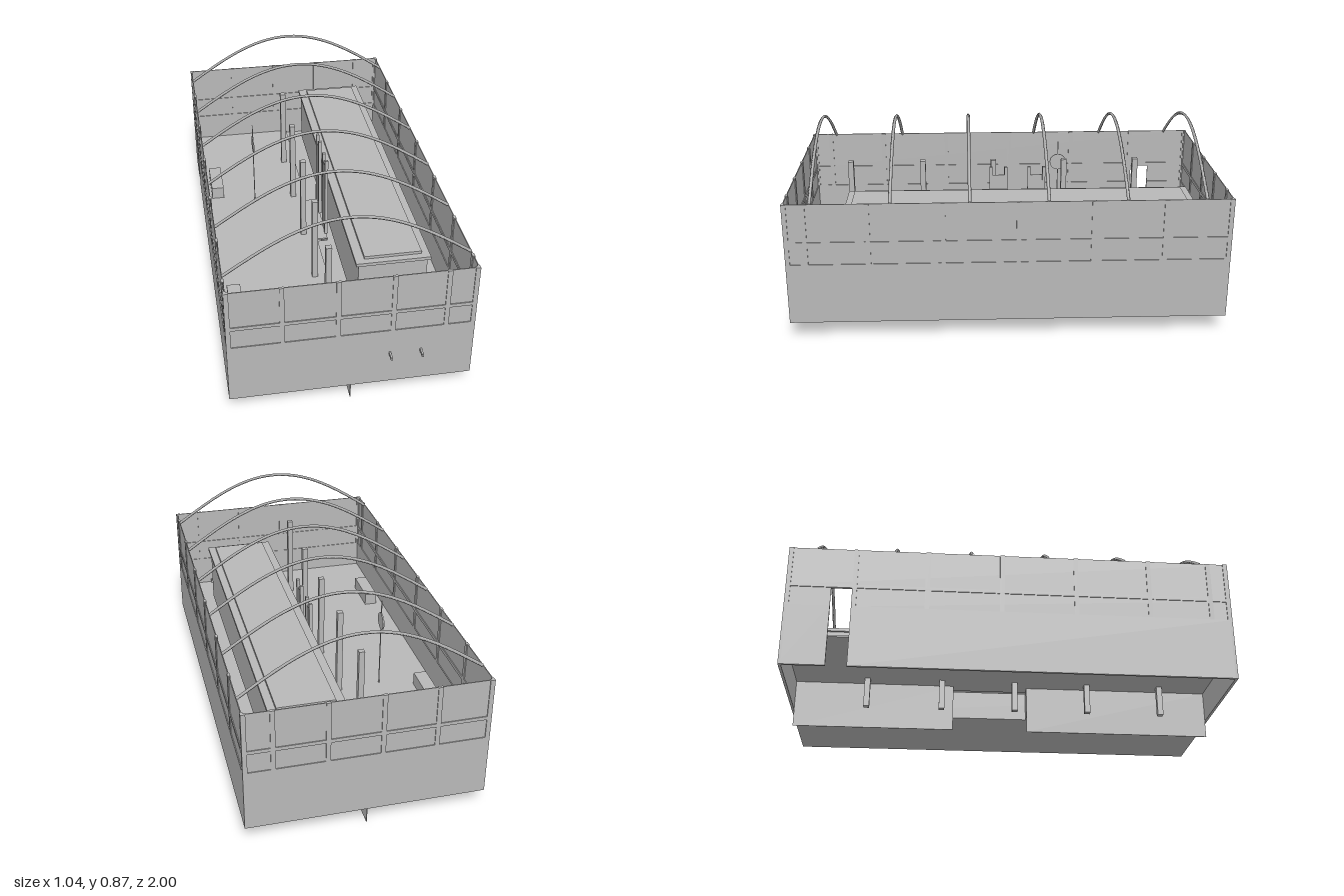
import * as THREE from 'three';

const grey = new THREE.MeshStandardMaterial({ color: 0xb8b8b8 });
grey.name = 'concrete grey';

// Box given by its minimum and maximum along each axis
function box(parent, name, x0, x1, y0, y1, z0, z1) {
  const g = new THREE.BoxGeometry(x1 - x0, y1 - y0, z1 - z0);
  g.translate((x0 + x1) / 2, (y0 + y1) / 2, (z0 + z1) / 2);
  const m = new THREE.Mesh(g, grey);
  m.name = name;
  parent.add(m);
  return m;
}

const BASE = 0.08, SILL = 0.36, RAIL = 0.455, TOP = 0.64, T = 0.012;
const BACK = -0.995, FRONT = 0.96, HALF = 0.52;

// Framed wall running from u0 to u1 along local x, outer face at local z = 0
function wall(name, u0, u1, posts, door) {
  const g = new THREE.Group();
  g.name = name;
  const spans = door ? [[u0, door[0]], [door[1], u1]] : [[u0, u1]];
  for (const [a, b] of spans) {
    box(g, 'lowerWall', a, b, BASE, SILL, -T, 0);
    box(g, 'lowerPanel', a, b, SILL, RAIL, -T + 0.004, -0.004);
  }
  box(g, 'upperPanel', u0, u1, RAIL, TOP, -T + 0.004, -0.004);
  box(g, 'rail', u0, u1, RAIL - 0.006, RAIL + 0.01, -T, 0);
  for (const p of [u0 + 0.01, ...posts, u1 - 0.01]) {
    box(g, 'wallPost', p - 0.01, p + 0.01, SILL, TOP, -T, 0);
  }
  return g;
}

export function createModel() {
  const model = new THREE.Group();
  model.name = 'trainStation';

  // Four outer walls, with a doorway in the right one
  const endPosts = [-0.29, -0.06, 0.17, 0.395];
  const sidePosts = [0.87, 0.597, 0.27, -0.058, -0.385, -0.7];
  const front = wall('frontWall', -HALF, HALF, endPosts);
  front.position.z = FRONT;
  const back = wall('backWall', -HALF, HALF, endPosts.map(x => -x));
  back.rotation.y = Math.PI;
  back.position.z = BACK;
  const left = wall('leftWall', -FRONT, -BACK, sidePosts.map(z => -z));
  left.rotation.y = Math.PI / 2;
  left.position.x = HALF;
  const right = wall('rightWall', BACK, FRONT, sidePosts, [-0.8, -0.71]);
  right.rotation.y = -Math.PI / 2;
  right.position.x = -HALF;
  model.add(front, back, left, right);

  // Roof arches
  class Arch extends THREE.Curve {
    getPoint(t, target = new THREE.Vector3()) {
      const x = (t * 2 - 1) * 0.512;
      return target.set(x, 0.638 + 0.225 * Math.cos(x * Math.PI / 1.024), 0);
    }
  }
  const archGeometry = new THREE.TubeGeometry(new Arch(), 32, 0.0075, 4);
  for (let i = 0; i < 6; i++) {
    const arch = new THREE.Mesh(archGeometry, grey);
    arch.name = 'roofArch';
    arch.position.z = 0.84 - i * 0.343;
    model.add(arch);
  }

  // Platform with a bay in its edge, and the track bed beside it
  const platform = new THREE.Group();
  platform.name = 'platform';
  model.add(platform);
  const zb = BACK + T, zf = FRONT - T, bayBack = -0.25, bayFront = 0.095;
  box(platform, 'platformTop', -HALF + T, 0, 0.218, 0.225, zb, zf);
  box(platform, 'bayTop', 0, 0.05, 0.218, 0.225, bayBack, bayFront);
  box(platform, 'platformEdge', -0.004, 0, 0, 0.218, bayFront, zf);
  box(platform, 'platformEdge', -0.004, 0, 0, 0.218, zb, bayBack);
  box(model, 'trackBed', 0.05, HALF - T, BASE, 0.212, zb, zf);
  box(model, 'trackBed', 0, 0.05, BASE, 0.212, bayFront, zf);
  box(model, 'trackBed', 0, 0.05, BASE, 0.212, zb, bayBack);

  // Sleepers and rails
  for (let i = 0; i < 26; i++) {
    const z = 0.947 - i * 0.0755;
    box(model, 'sleeper', 0.1, 0.35, 0.212, 0.23, z - 0.0125, z + 0.0125);
  }
  for (const x of [0.16, 0.293]) box(model, 'trackRail', x - 0.004, x + 0.004, 0.23, 0.245, -0.935, 1);

  // Train carriage
  const train = new THREE.Group();
  train.name = 'trainCarriage';
  model.add(train);
  box(train, 'carriageBody', 0.072, 0.373, 0.25, 0.52, -0.868, 0.708);
  box(train, 'roofSlab', 0.06, 0.385, 0.518, 0.533, -0.88, 0.72);
  box(train, 'roofRaised', 0.1, 0.35, 0.533, 0.546, -0.845, 0.69);
  box(train, 'coupler', 0.215, 0.235, 0.28, 0.295, 0.708, 0.73);

  // Platform columns
  for (const z of [-0.65, -0.305, 0.035, 0.375, 0.72]) {
    box(model, 'column', -0.073, -0.047, BASE, TOP, z - 0.013, z + 0.013);
  }

  // Boarding gate: two tall leaves with slats at the bay
  for (const [a, b] of [[-0.2, -0.13], [-0.02, 0.05]]) {
    box(model, 'gateLeaf', 0.046, 0.052, 0.225, 0.6, a, b);
    for (const z of [a, b]) box(model, 'gatePost', 0.043, 0.058, 0.225, TOP, z - 0.007, z + 0.007);
  }

  // Benches
  for (const z of [-0.445, 0.557]) {
    box(model, 'bench', -0.475, -0.415, 0.225, 0.285, z - 0.1, z + 0.1);
  }

  // Round sign on a thin rod
  const disc = new THREE.CylinderGeometry(0.04, 0.04, 0.006, 24);
  disc.rotateZ(Math.PI / 2);
  const sign = new THREE.Mesh(disc, grey);
  sign.name = 'roundSign';
  sign.position.set(-0.26, 0.56, -0.295);
  model.add(sign);
  box(model, 'signRod', -0.262, -0.258, 0.225, 0.665, -0.297, -0.293);

  return model;
}
